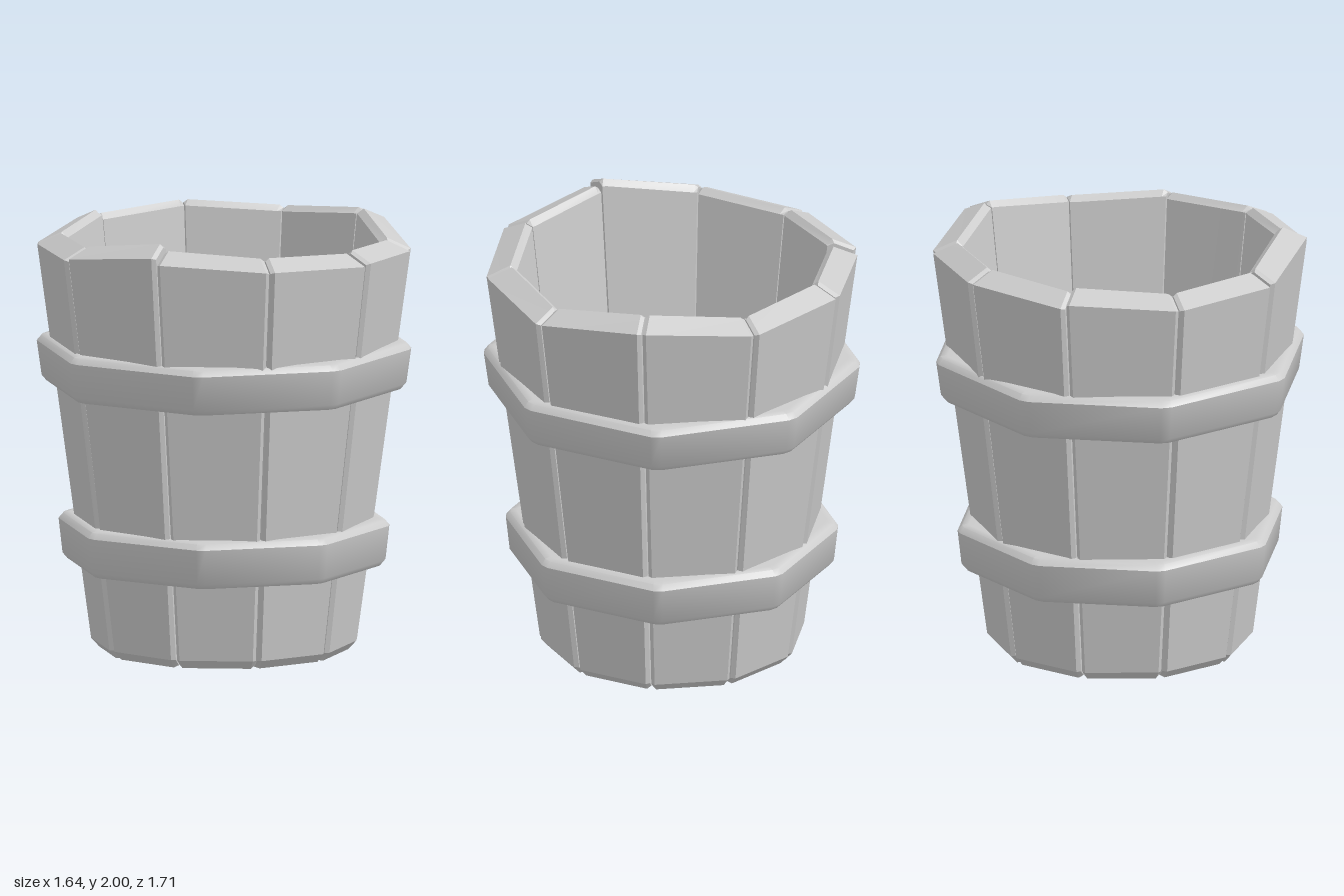
import * as THREE from 'three';
import { toCreasedNormals } from 'three/addons/utils/BufferGeometryUtils.js';

const material = new THREE.MeshStandardMaterial({ color: 0xcccccc });
const STAVES = 10;
const STEP = (Math.PI * 2) / STAVES;

// Ridge heights [start, end] of each stave, counted from the front towards +x
const HEIGHTS = [
  [1.94, 1.92], [1.93, 1.905], [1.91, 1.97], [1.97, 1.93], [1.93, 1.95],
  [1.95, 1.93], [1.95, 1.92], [1.92, 1.93], [1.94, 2.0], [1.97, 1.94],
];

// Skins a row of equal cross-sections; either joins the ends or caps them
function loft(sections, closed, crease) {
  const n = sections[0].length;
  const m = sections.length;
  const index = [];
  for (let i = 0; i < (closed ? m : m - 1); i++) {
    for (let j = 0; j < n; j++) {
      const k = (j + 1) % n;
      const a = i * n + j, b = ((i + 1) % m) * n + j;
      const c = ((i + 1) % m) * n + k, d = i * n + k;
      index.push(a, b, c, a, c, d);
    }
  }
  if (!closed) {
    const e = (m - 1) * n;
    for (let j = 1; j < n - 1; j++) index.push(0, j, j + 1, e, e + j + 1, e + j);
  }
  const geometry = new THREE.BufferGeometry();
  geometry.setAttribute('position', new THREE.Float32BufferAttribute(sections.flat(2), 3));
  geometry.setIndex(index);
  return toCreasedNormals(geometry, crease);
}

// One tapered stave: an upright profile swept across its width, edges chamfered
function staveGeometry([h0, h1]) {
  const section = (side, edge) => {
    const h = side < 0 ? h0 : h1;
    const p = edge ? 0.02 : 0;
    const profile = [
      [0.475, 0], [0.55 - p, p * 0.5], [0.585 - p, 0.04],
      [0.82 - p, h - 0.05 - p * 0.3], [0.715, h - p * 0.7], [0.685, h - 0.025],
    ];
    return profile.map(([a, y]) => {
      const w = a * Math.tan(STEP / 2) - (edge ? 0.003 : 0.022);
      return [side * w, y, a];
    });
  };
  return loft([section(-1, true), section(-1, false), section(1, false), section(1, true)], false, 0.45);
}

// Eight-sided hoop with bevelled rims and softened corners
function hoopGeometry(y0, y1, r0, r1) {
  const profile = [
    [r0 - 0.11, y0], [r0 - 0.02, y0], [r0, y0 + 0.025],
    [r1, y1 - 0.03], [r1 - 0.02, y1 - 0.005], [r1 - 0.05, y1], [r1 - 0.13, y1],
  ];
  const soft = 1.6;
  const scale = 1 / Math.cos(THREE.MathUtils.degToRad(22.5 - soft));
  const sections = [];
  for (let k = 0; k < 8; k++) {
    for (const offset of [-soft, soft]) {
      const t = THREE.MathUtils.degToRad(22.5 + 45 * k + offset);
      sections.push(profile.map(([a, y]) => [Math.sin(t) * a * scale, y, Math.cos(t) * a * scale]));
    }
  }
  return loft(sections, true, 0.75);
}

// Floor plank between two z lines, its ends following the round wall
function plankGeometry(z0, z1) {
  const R = 0.54, bevel = 0.012;
  const x0 = Math.sqrt(R * R - z0 * z0), x1 = Math.sqrt(R * R - z1 * z1);
  const a = z0 + bevel + 0.002, b = z1 - bevel - 0.002;
  const shape = new THREE.Shape([
    new THREE.Vector2(-x0, -a), new THREE.Vector2(-x1, -b),
    new THREE.Vector2(x1, -b), new THREE.Vector2(x0, -a),
  ]);
  const geometry = new THREE.ExtrudeGeometry(shape, {
    depth: 0.11, bevelEnabled: true, bevelSize: bevel, bevelThickness: bevel, bevelSegments: 1,
  });
  return geometry.rotateX(-Math.PI / 2).translate(0, 0.045, 0);
}

export function createModel() {
  const model = new THREE.Group();
  model.name = 'woodenBucket';
  const add = (parent, name, geometry) => {
    const mesh = new THREE.Mesh(geometry, material);
    mesh.name = name;
    parent.add(mesh);
    return mesh;
  };

  // Wall of staves
  const wall = new THREE.Group();
  wall.name = 'staves';
  HEIGHTS.forEach((heights, i) => {
    add(wall, `stave${i + 1}`, staveGeometry(heights)).rotation.y = (i + 0.5) * STEP;
  });

  // Floor planks running side to side
  const floor = new THREE.Group();
  floor.name = 'floor';
  const seams = [-0.53, -0.48, -0.19, 0.17, 0.46, 0.53];
  for (let i = 0; i < seams.length - 1; i++) {
    add(floor, `floorPlank${i + 1}`, plankGeometry(seams[i], seams[i + 1]));
  }

  model.add(wall, floor);

  // Hoops
  add(model, 'lowerHoop', hoopGeometry(0.4, 0.615, 0.695, 0.712));
  add(model, 'upperHoop', hoopGeometry(1.225, 1.44, 0.785, 0.806));
  return model;
}
